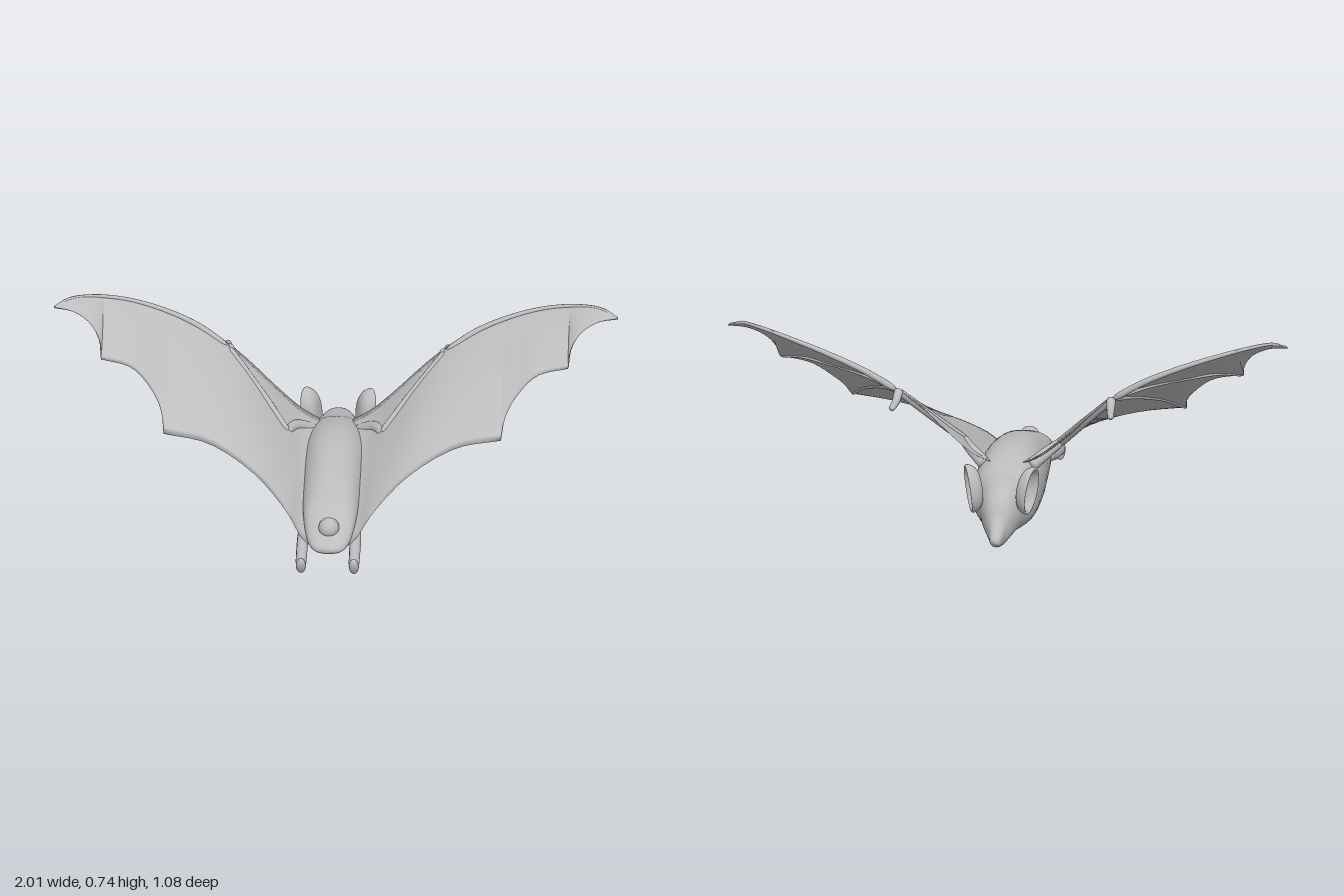
import * as THREE from 'three';

const V = (x, y, z) => new THREE.Vector3(x, y, z);
const spline = (pts) => new THREE.CatmullRomCurve3(pts.map((p) => V(...p)), false, 'centripetal');

// Closed skin through rings of equal point count, capped at both ends and turned outwards
function loft(rings) {
  const n = rings[0].length, pos = [], idx = [];
  rings.forEach((r) => r.forEach((p) => pos.push(p.x, p.y, p.z)));
  for (let i = 0; i < rings.length - 1; i++) {
    for (let j = 0; j < n; j++) {
      const a = i * n + j, b = i * n + (j + 1) % n;
      idx.push(a, b, a + n, b, b + n, a + n);
    }
  }
  const last = (rings.length - 1) * n;
  for (let j = 1; j < n - 1; j++) idx.push(0, j + 1, j, last, last + j, last + j + 1);
  const all = rings.flat();
  let volume = 0;
  for (let i = 0; i < idx.length; i += 3) {
    volume += all[idx[i]].dot(all[idx[i + 1]].clone().cross(all[idx[i + 2]]));
  }
  if (volume < 0) idx.reverse();
  const g = new THREE.BufferGeometry();
  g.setAttribute('position', new THREE.Float32BufferAttribute(pos, 3));
  g.setIndex(idx);
  g.computeVertexNormals();
  return g;
}

// Round limb tapering from r0 to r1, with rounded ends
function limb(pts, r0, r1, steps = 24, sides = 12) {
  const c = spline(pts), f = c.computeFrenetFrames(steps), rings = [];
  for (let i = 0; i <= steps; i++) {
    const t = i / steps, p = c.getPointAt(t);
    const end = Math.min(1, 0.25 + Math.sqrt(Math.min(t, 1 - t) * 12));
    const r = (r0 + (r1 - r0) * t) * end;
    rings.push(Array.from({ length: sides }, (_, j) => {
      const a = j / sides * Math.PI * 2;
      return p.clone().addScaledVector(f.normals[i], r * Math.cos(a)).addScaledVector(f.binormals[i], r * Math.sin(a));
    }));
  }
  return loft(rings);
}

function mirrored(geo) {
  const g = geo.clone();
  g.scale(-1, 1, 1);
  g.setIndex([...g.index.array].reverse());
  g.computeVertexNormals();
  return g;
}

// Wing outline: leading edge, then three scallops of the trailing edge
const lead = spline([[0.04, 0.25, -0.235], [0.12, 0.29, -0.25], [0.2, 0.36, -0.255], [0.3, 0.46, -0.262],
  [0.385, 0.53, -0.28], [0.52, 0.61, -0.3], [0.62, 0.655, -0.303], [0.75, 0.7, -0.29],
  [0.85, 0.725, -0.262], [0.95, 0.735, -0.215], [1, 0.715, -0.187]]).getPoints(120);
const trail = [
  [[0.06, 0.09, 0.43], [0.1, 0.12, 0.405], [0.15, 0.18, 0.345], [0.27, 0.272, 0.23], [0.44, 0.345, 0.138], [0.6, 0.372, 0.122]],
  [[0.6, 0.372, 0.122], [0.612, 0.425, 0.05], [0.645, 0.475, -0.005], [0.72, 0.54, -0.055], [0.83, 0.565, -0.07]],
  [[0.83, 0.565, -0.07], [0.838, 0.615, -0.11], [0.87, 0.665, -0.145], [0.93, 0.7, -0.168], [1, 0.711, -0.18]],
].flatMap((s) => spline(s).getPoints(18));

// Point on an edge at a given x
function edgeAt(pts, x) {
  let i = 1;
  while (i < pts.length - 1 && pts[i].x < x) i++;
  const a = pts[i - 1], b = pts[i];
  const t = THREE.MathUtils.clamp((x - a.x) / Math.max(b.x - a.x, 1e-6), 0, 1);
  return a.clone().lerp(b, t);
}

const wingUp = V(-0.6, 1, 0.55).normalize();

// Point on the underside of the membrane, for laying bones on it
function onWing(x, z, drop = 0.004) {
  const a = edgeAt(lead, x), b = edgeAt(trail, x);
  return a.lerp(b, (z - a.z) / (b.z - a.z)).addScaledVector(wingUp, -drop).toArray();
}

function membrane() {
  const n = 20;
  return loft(trail.map((b) => {
    const a = edgeAt(lead, b.x), ring = [];
    for (let k = 0; k < 2 * n; k++) {
      const v = k <= n ? k / n : 2 - k / n;
      const half = (0.0015 + 0.004 * Math.sqrt(Math.sin(Math.PI * v) + 1e-9)) * (k <= n ? 1 : -1);
      ring.push(a.clone().lerp(b, v).addScaledVector(wingUp, half));
    }
    return ring;
  }));
}

// Body cross-sections from snout to tail: z, bottom, top, half width
function bodySkin() {
  const s = [[-0.538, 0.05, 0.063, 0.006], [-0.526, 0.037, 0.078, 0.019], [-0.5, 0.026, 0.1, 0.026],
    [-0.475, 0.02, 0.132, 0.034], [-0.45, 0.02, 0.178, 0.048], [-0.41, 0.026, 0.215, 0.066],
    [-0.36, 0.03, 0.23, 0.082], [-0.3, 0.024, 0.242, 0.107], [-0.25, 0.016, 0.262, 0.118],
    [-0.15, 0.004, 0.285, 0.12], [-0.05, 0, 0.288, 0.118], [0.05, 0.008, 0.275, 0.112],
    [0.15, 0.027, 0.252, 0.107], [0.25, 0.07, 0.222, 0.1], [0.3, 0.09, 0.205, 0.095],
    [0.36, 0.086, 0.175, 0.087], [0.42, 0.075, 0.14, 0.072], [0.452, 0.078, 0.115, 0.05], [0.465, 0.088, 0.102, 0.015]];
  const heights = spline(s.map(([z, b, t]) => [z, b, t])).getPoints(72);
  const widths = spline(s.map(([z, , , w]) => [z, w, 0])).getPoints(120).map((p) => V(p.x, p.y, 0));
  return loft(heights.map((p) => {
    const w = edgeAt(widths, p.x).y, mid = (p.y + p.z) / 2, h = (p.z - p.y) / 2;
    return Array.from({ length: 36 }, (_, j) => {
      const a = j / 36 * Math.PI * 2, c = Math.cos(a), q = Math.sin(a);
      return V(w * Math.sign(c) * Math.abs(c) ** 0.9, mid + h * Math.sign(q) * Math.abs(q) ** 0.9, p.x);
    });
  }));
}

// Cupped oval ear opening outwards
function ear() {
  const profile = [[0, -0.022], [0.5, -0.02], [0.82, -0.008], [0.97, 0.01], [1, 0.022], [0.94, 0.028],
    [0.84, 0.022], [0.7, 0.006], [0.4, -0.006], [0, -0.008]];
  const smooth = new THREE.SplineCurve(profile.map((p) => new THREE.Vector2(...p))).getPoints(30);
  smooth.forEach((p) => { p.x = Math.max(0, p.x); });
  const g = new THREE.LatheGeometry(smooth, 32);
  g.rotateZ(-Math.PI / 2);
  g.scale(1, 0.088, 0.056);
  g.computeVertexNormals();
  g.rotateY(0.3);
  g.rotateZ(-0.15);
  g.rotateX(0.08);
  g.translate(0.088, 0.212, -0.396);
  return g;
}

export function createModel() {
  const model = new THREE.Group();
  model.name = 'bat';
  const grey = new THREE.MeshStandardMaterial({ color: 0xbcbcbc });
  grey.name = 'plain grey';
  const add = (name, geo) => {
    const m = new THREE.Mesh(geo, grey);
    m.name = name;
    model.add(m);
  };
  const addPair = (name, geo) => {
    add(name + 'Left', geo);
    add(name + 'Right', mirrored(geo));
  };

  // Body and tail knob
  add('body', bodySkin());
  add('tailKnob', new THREE.SphereGeometry(0.037, 24, 16).translate(0, 0.152, 0.393));
  addPair('ear', ear());

  // Wings with their bones
  const wrist = onWing(0.385, -0.268);
  addPair('wingMembrane', membrane());
  addPair('upperArm', limb([[0.08, 0.235, -0.2], onWing(0.135, -0.15), onWing(0.17, -0.08)], 0.024, 0.017));
  addPair('forearm', limb([onWing(0.165, -0.075), onWing(0.26, -0.165), wrist], 0.017, 0.013));
  addPair('leadingFinger', limb([wrist, ...[0.5, 0.62, 0.75, 0.87, 0.95, 0.99].map((x) => {
    const p = edgeAt(lead, x);
    return [p.x, p.y - 0.004, p.z + 0.006];
  })], 0.013, 0.005, 40));
  addPair('middleFinger', limb([wrist, onWing(0.5, -0.235), onWing(0.65, -0.17), onWing(0.76, -0.112), [0.828, 0.564, -0.072]], 0.009, 0.005, 32));
  addPair('innerFinger', limb([wrist, onWing(0.45, -0.15), onWing(0.53, -0.02), [0.598, 0.372, 0.118]], 0.009, 0.005, 32));
  addPair('thumb', limb([[0.38, 0.52, -0.265], [0.384, 0.495, -0.31], [0.392, 0.485, -0.375]], 0.017, 0.011));

  // Legs and feet
  addPair('leg', limb([[0.082, 0.125, 0.26], [0.092, 0.1, 0.36], [0.094, 0.085, 0.44], [0.094, 0.065, 0.52]], 0.022, 0.019));
  const foot = new THREE.SphereGeometry(1, 20, 14).scale(0.018, 0.035, 0.017);
  addPair('foot', foot.rotateX(0.4).translate(0.094, 0.064, 0.518));
  return model;
}
